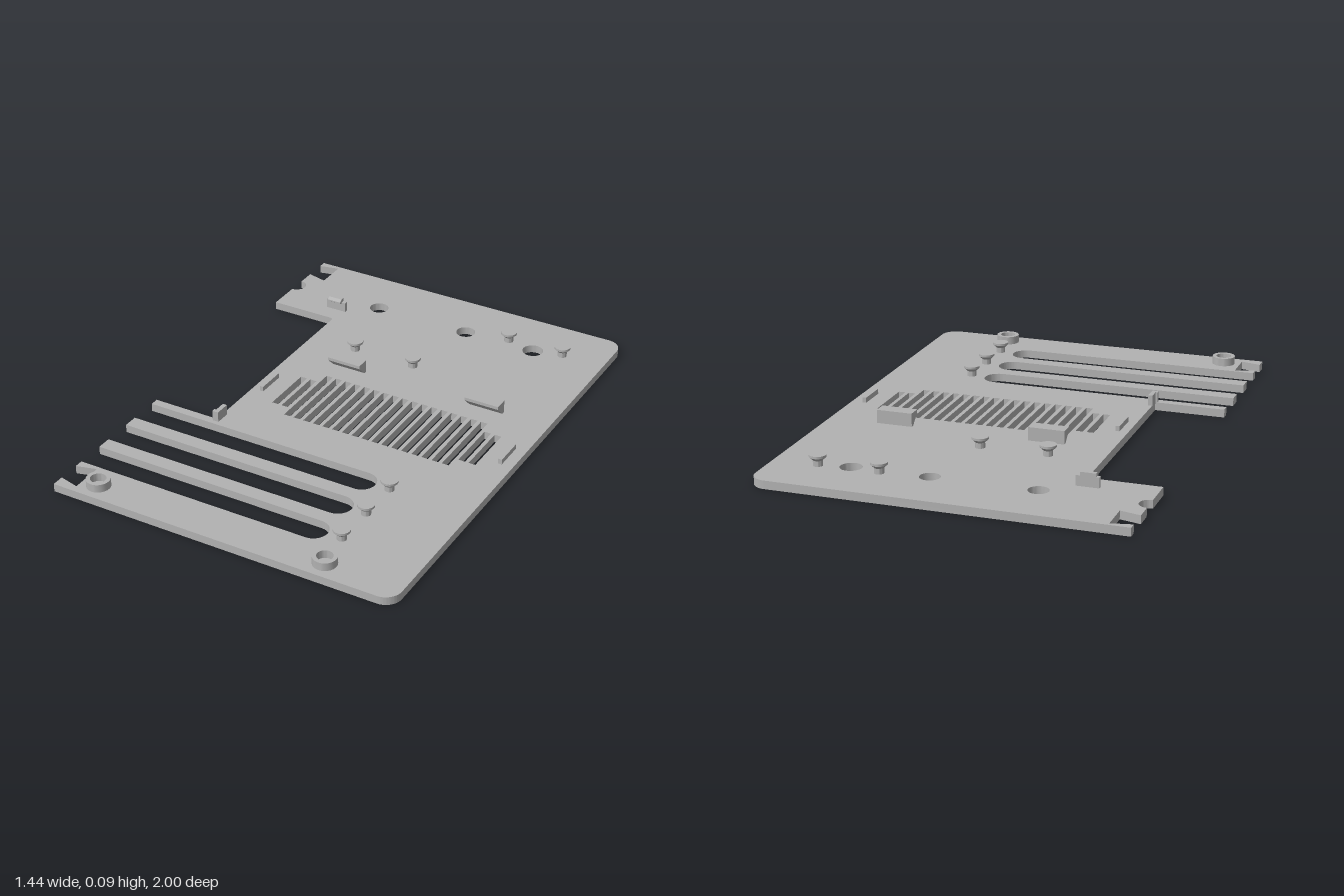
import * as THREE from 'three';
import { toCreasedNormals } from 'three/addons/utils/BufferGeometryUtils.js';

const T = 0.033; // plate thickness
const X = 0.722; // half width

export function createModel() {
  const model = new THREE.Group();
  model.name = 'mountingPlate';
  const grey = new THREE.MeshStandardMaterial({ color: 0xb2b2b2 });
  grey.name = 'plainGrey';

  const add = (name, geometry, x = 0, y = 0, z = 0) => {
    const mesh = new THREE.Mesh(toCreasedNormals(geometry, 0.6), grey);
    mesh.name = name;
    mesh.position.set(x, y, z);
    model.add(mesh);
  };
  // Box from its limits, standing on the plate
  const block = (name, x0, x1, z0, z1, top) => add(name,
    new THREE.BoxGeometry(x1 - x0, top - T, z1 - z0), (x0 + x1) / 2, (top + T) / 2, (z0 + z1) / 2);
  // Side profile of [z, y] points, extruded along x
  const profileBar = (name, points, x0, x1) => {
    const shape = new THREE.Shape(points.map(([z, y]) => new THREE.Vector2(z, y)));
    const g = new THREE.ExtrudeGeometry(shape, { depth: x1 - x0, bevelEnabled: false });
    g.rotateY(-Math.PI / 2);
    add(name, g, x1);
  };
  const turned = (name, points, x, z) => add(name,
    new THREE.LatheGeometry(points.map(([r, y]) => new THREE.Vector2(r, y)), 32), x, 0, z);

  // Plate outline in x, z, starting at the back left corner
  const s = new THREE.Shape();
  const r = 0.065;
  s.moveTo(-X, -1);
  s.lineTo(X - r, -1);
  s.absarc(X - r, -1 + r, r, -Math.PI / 2, 0, false);
  s.lineTo(X, 1 - r);
  s.absarc(X - r, 1 - r, r, 0, Math.PI / 2, false);
  s.lineTo(-X, 1);
  // Front dovetail notch
  for (const [x, z] of [[-X, 0.95], [-0.64, 0.97], [-0.64, 0.84], [-X, 0.862]]) s.lineTo(x, z);
  // Long slots open on the right-hand side, rounded at the inner end
  for (const [z0, z1] of [[0.71, 0.826], [0.532, 0.65], [0.355, 0.472]]) {
    const h = (z1 - z0) / 2;
    s.lineTo(-X, z1);
    s.lineTo(0.326 - h, z1);
    s.absarc(0.326 - h, z0 + h, h, Math.PI / 2, -Math.PI / 2, true);
    s.lineTo(-X, z0);
  }
  // Large rectangular cutout
  s.lineTo(-X, 0.32);
  s.lineTo(-0.437, 0.32);
  s.lineTo(-0.437, -0.575);
  s.absarc(-0.452, -0.575, 0.015, 0, -Math.PI / 2, true);
  s.lineTo(-X, -0.59);
  // Half-round edge notch, then back dovetail notch
  s.lineTo(-X, -0.726);
  s.absarc(-X, -0.766, 0.04, Math.PI / 2, -Math.PI / 2, true);
  for (const [x, z] of [[-X, -0.88], [-0.64, -0.86], [-0.64, -0.985], [-X, -0.968]]) s.lineTo(x, z);
  s.closePath();

  // Round holes
  for (const [x, rad] of [[-0.31, 0.04], [0.106, 0.04], [0.417, 0.043]]) {
    s.holes.push(new THREE.Path().absarc(x, -0.766, rad, 0, Math.PI * 2, true));
  }
  // Vent slots, shorter at both ends of the row
  for (let i = 0; i < 21; i++) {
    const x0 = -0.312 + i * 0.0437, x1 = x0 + 0.028;
    const short = i < 2 || i > 18;
    const z0 = short ? -0.115 : -0.172, z1 = short ? 0.109 : 0.162;
    s.holes.push(new THREE.Path([[x0, z0], [x0, z1], [x1, z1], [x1, z0]]
      .map(([x, z]) => new THREE.Vector2(x, z))));
  }
  const plate = new THREE.ExtrudeGeometry(s, { depth: T, bevelEnabled: false, curveSegments: 16 });
  plate.rotateX(Math.PI / 2);
  add('plate', plate, 0, T, 0);

  // Mushroom-headed studs
  const stud = [[0.019, T], [0.019, 0.055], [0.033, 0.068], [0.033, 0.077], [0, 0.077]];
  for (const [x, z] of [[0.295, -0.79], [0.539, -0.79], [-0.227, -0.411], [0.043, -0.411],
    [0.386, 0.413], [0.386, 0.591], [0.386, 0.769]]) turned('stud', stud, x, z);

  // Ring bosses at the front
  const ring = [[0.047, T], [0.047, 0.066], [0.031, 0.066], [0.031, T]];
  for (const x of [-0.57, 0.407]) turned('ringBoss', ring, x, 0.925);

  // Overhanging catches behind the vents
  for (const x of [-0.248, 0.375]) {
    profileBar('catch', [[-0.28, T], [-0.266, T], [-0.223, 0.074], [-0.223, 0.087], [-0.28, 0.087]],
      x, x + 0.146);
  }

  // Low ribs beside the vents
  for (const x of [-0.402, 0.66]) block('rib', x, x + 0.016, -0.066, 0.057, 0.054);

  // Hooked clip at the back of the cutout
  block('clipPost', -0.51, -0.42, -0.68, -0.664, 0.074);
  profileBar('clipHook', [[-0.68, 0.074], [-0.664, 0.066], [-0.652, 0.074], [-0.652, 0.079],
    [-0.664, 0.088], [-0.68, 0.088]], -0.498, -0.438);

  // Upright tab at the front of the cutout
  block('cornerTab', -0.438, -0.42, 0.272, 0.336, 0.076);
  block('cornerTabNub', -0.446, -0.438, 0.32, 0.336, 0.076);

  return model;
}
